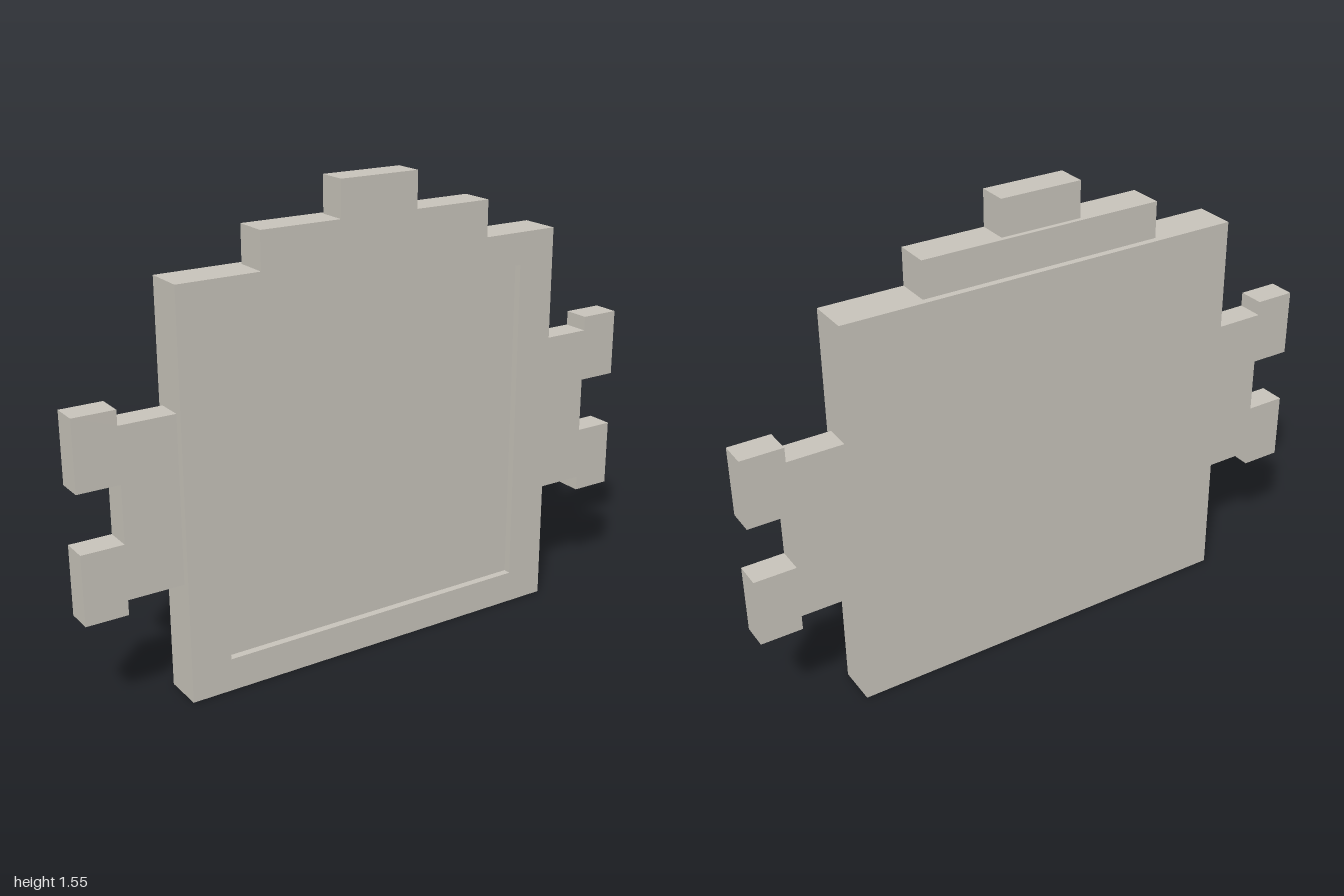
import * as THREE from 'three';

export function createModel() {
  const model = new THREE.Group();
  const stone = new THREE.MeshStandardMaterial({ color: 0xc8c4bb });
  stone.name = 'warm grey';

  const add = (name, geometry) => {
    const mesh = new THREE.Mesh(geometry, stone);
    mesh.name = name;
    model.add(mesh);
  };
  const outline = (points) => new THREE.Shape(points.map(([x, y]) => new THREE.Vector2(x, y)));
  const slab = (shape, back, front) =>
    new THREE.ExtrudeGeometry(shape, { depth: front - back, bevelEnabled: false }).translate(0, 0, back);
  const rect = (x, bottom, top) => [[-x, bottom], [x, bottom], [x, top], [-x, top]];

  const FRONT = 0.068, BACK = -0.068, RECESS = 0.043;

  // Raised border around the shallow recess
  const border = outline(rect(0.682, 0, 1.31));
  border.holes.push(outline(rect(0.548, 0.108, 1.203)));
  add('frontBorder', slab(border, RECESS, FRONT));

  // Solid back, whose front face is the recess floor
  add('backPanel', slab(outline(rect(0.682, 0, 1.31)), BACK, RECESS));

  // Stepped crest, flush with the front
  add('lowerCrest', slab(outline(rect(0.409, 1.31, 1.43)), -0.046, FRONT));
  add('upperCrest', slab(outline(rect(0.137, 1.43, 1.548)), -0.03, FRONT));

  // Forked side brackets, mirrored
  const bracket = [
    [0.682, 0.388], [0.864, 0.388], [0.864, 0.34], [1, 0.34], [1, 0.565], [0.864, 0.565],
    [0.864, 0.75], [1, 0.75], [1, 0.975], [0.864, 0.975], [0.864, 0.927], [0.682, 0.927],
  ];
  for (const [name, side] of [['leftBracket', 1], ['rightBracket', -1]]) {
    add(name, slab(outline(bracket.map(([x, y]) => [x * side, y])), -0.047, 0.042));
  }
  return model;
}
